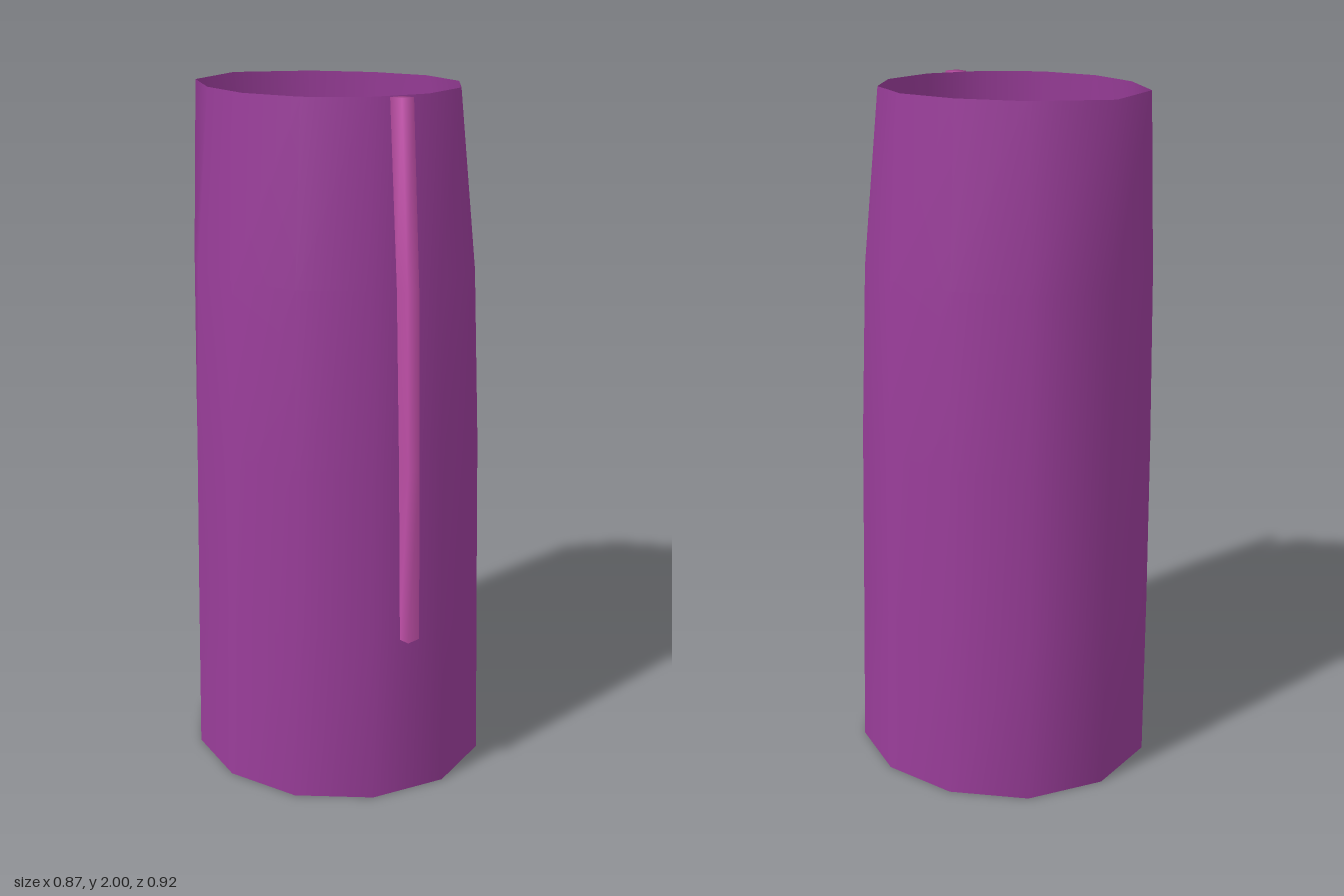
import * as THREE from 'three';

// Smooth loft through stacked rings of [x, y, z] points, going from front towards +x
function loft(rings, capped) {
  const n = rings[0].length, last = (rings.length - 1) * n, index = [];
  for (let r = 0; r < rings.length - 1; r++) {
    for (let i = 0; i < n; i++) {
      const a = r * n + i, b = r * n + (i + 1) % n;
      index.push(a, b, b + n, a, b + n, a + n);
    }
  }
  if (capped) {
    for (let i = 1; i < n - 1; i++) {
      index.push(0, i + 1, i, last, last + i, last + i + 1);
    }
  }
  const geometry = new THREE.BufferGeometry();
  geometry.setAttribute('position', new THREE.Float32BufferAttribute(rings.flat(2), 3));
  geometry.setIndex(index);
  geometry.computeVertexNormals();
  return geometry;
}

export function createModel() {
  const group = new THREE.Group();

  // Open sleeve: twelve-sided, tapering at the front and sides, upright at the back
  const bottom = [[0, 0.458], [0.22, 0.395], [0.38, 0.228], [0.437, 0.008], [0.382, -0.213], [0.227, -0.388],
    [0, -0.455], [-0.23, -0.39], [-0.381, -0.213], [-0.437, 0.008], [-0.38, 0.228], [-0.22, 0.392]];
  const top = [[0, 0.355], [0.175, 0.308], [0.3, 0.183], [0.35, 0.008], [0.306, -0.17], [0.198, -0.334],
    [0, -0.456], [-0.215, -0.364], [-0.321, -0.175], [-0.35, 0.008], [-0.3, 0.183], [-0.175, 0.307]];
  // [height, share of the taper, backward bulge]
  const levels = [[0, 0, 0], [0.5, 0.13, 0.006], [1, 0.25, 0.006], [1.5, 0.47, 0.004], [2, 1, 0]];
  const sleeveRings = levels.map(([y, t, bulge]) => bottom.map(([x, z], i) => [
    THREE.MathUtils.lerp(x, top[i][0], t), y,
    THREE.MathUtils.lerp(z, top[i][1], t) + Math.min(z, 0) / 0.455 * bulge,
  ]));
  const sleeve = new THREE.Mesh(loft(sleeveRings, false),
    new THREE.MeshStandardMaterial({ color: 0x993d99, side: THREE.DoubleSide }));
  sleeve.name = 'sleeve';
  group.add(sleeve);

  // Narrow strip following the front: [height, left edge, back z, front z]
  const w = 0.044;
  const stripRings = [[0.5, -0.157, 0.43, 0.463], [1, -0.151, 0.412, 0.447],
    [1.5, -0.144, 0.388, 0.428], [2, -0.135, 0.346, 0.389]]
    .map(([y, x, back, front]) => [[x, y, front], [x + w, y, front], [x + w, y, back], [x, y, back]]);
  const strip = new THREE.Mesh(loft(stripRings, true), new THREE.MeshStandardMaterial({ color: 0xcc55b3 }));
  strip.name = 'frontStrip';
  group.add(strip);

  return group;
}
